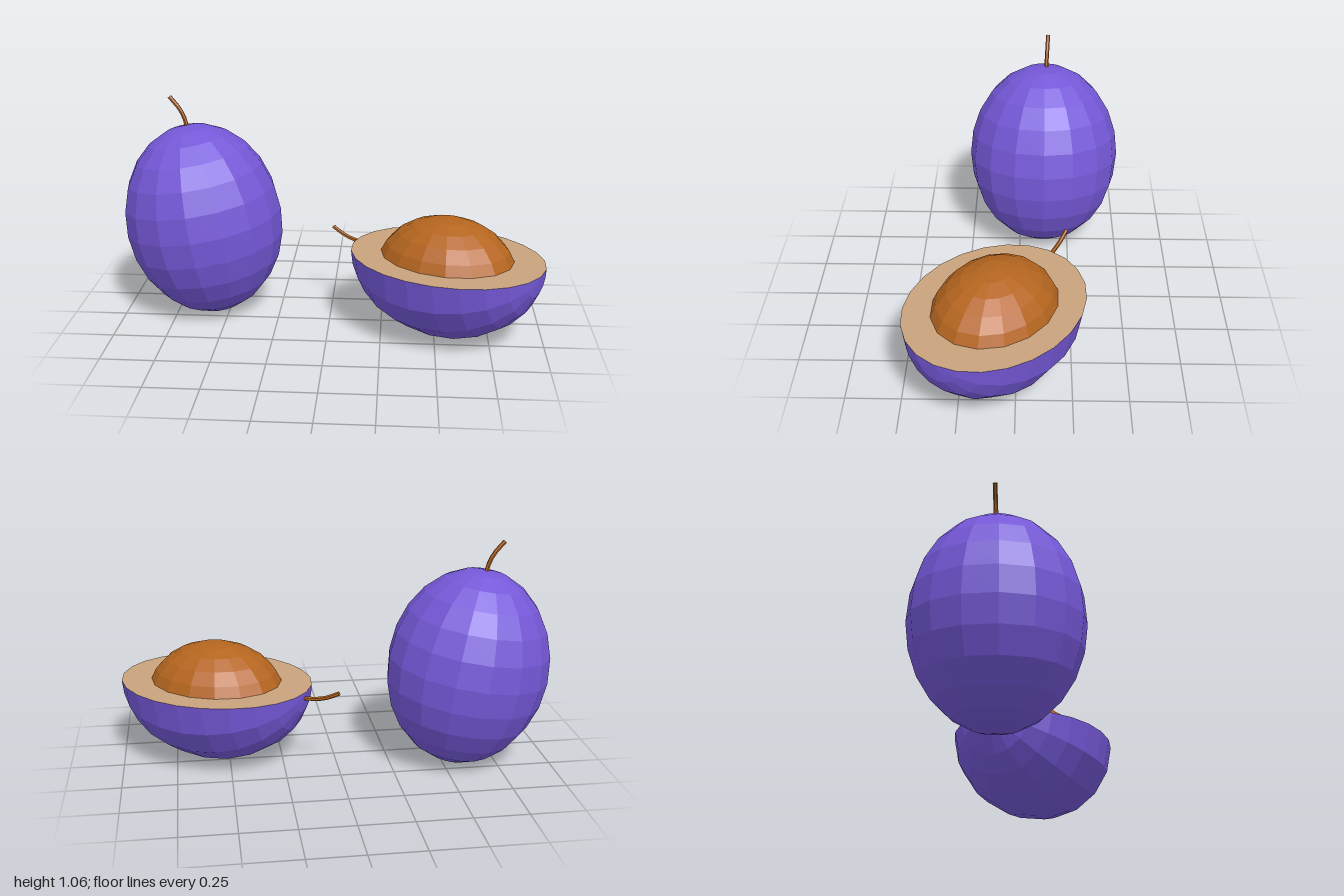
import * as THREE from 'three';

export function createModel() {
  const skin = new THREE.MeshStandardMaterial({ color: 0x7558d8 });
  const flesh = new THREE.MeshStandardMaterial({ color: 0xc8a27c });
  const brown = new THREE.MeshStandardMaterial({ color: 0xb5651f });
  skin.name = 'purple skin';
  flesh.name = 'pale flesh';
  brown.name = 'brown pit and stem';

  // Faceted look: unshared vertices give one normal per face
  const facet = (geometry) => {
    const g = geometry.index ? geometry.toNonIndexed() : geometry;
    g.computeVertexNormals();
    return g;
  };

  const add = (parent, name, geometry, material) => {
    const mesh = new THREE.Mesh(facet(geometry), material);
    mesh.name = name;
    parent.add(mesh);
    return mesh;
  };

  // Curved stem with closed ends
  const addStem = (parent, name, points) => {
    const curve = new THREE.CatmullRomCurve3(points.map((p) => new THREE.Vector3(...p)));
    const stem = new THREE.Group();
    stem.name = name;
    add(stem, name + 'Stalk', new THREE.TubeGeometry(curve, 6, 0.01, 6), brown);
    const cap = add(stem, name + 'Tip', new THREE.CircleGeometry(0.01, 6), brown);
    cap.position.copy(curve.getPoint(1));
    cap.lookAt(curve.getPoint(1).add(curve.getTangent(1)));
    parent.add(stem);
  };

  const model = new THREE.Group();
  model.name = 'fruitPair';

  // Whole fruit, leaning slightly to one side
  const whole = new THREE.Group();
  whole.name = 'wholeFruit';
  const body = add(whole, 'wholeSkin',
    new THREE.SphereGeometry(1, 16, 12).scale(0.378, 0.468, 0.378), skin);
  body.position.set(-0.617, 0.466, -0.121);
  body.rotation.z = 0.16;
  addStem(whole, 'wholeStem', [
    [-0.685, 0.9, -0.13], [-0.69, 0.94, -0.13], [-0.715, 1.0, -0.133], [-0.765, 1.062, -0.137],
  ]);
  model.add(whole);

  // Halved fruit, lying with its cut face up and its long axis level
  const half = new THREE.Group();
  half.name = 'halvedFruit';
  const cut = new THREE.Group();
  cut.name = 'cutHalf';
  cut.position.set(0.55, 0.383, 0.092);
  cut.rotation.y = -Math.PI * 2 / 3;
  add(cut, 'halfSkin',
    new THREE.SphereGeometry(1, 8, 12, 0, Math.PI).scale(0.378, 0.468, 0.378).rotateX(Math.PI / 2), skin);
  add(cut, 'cutFace',
    new THREE.CircleGeometry(1, 24).scale(0.378, 0.468, 1).rotateX(-Math.PI / 2), flesh);

  // Pit, half sunk in the flesh
  const pit = add(cut, 'pit',
    new THREE.SphereGeometry(1, 16, 6, 0, Math.PI * 2, 0, Math.PI / 2).scale(0.28, 0.265, 0.338), brown);
  pit.position.y = -0.083;
  half.add(cut);
  addStem(half, 'halfStem', [
    [0.17, 0.352, -0.135], [0.11, 0.356, -0.168], [0.06, 0.37, -0.197], [0.005, 0.4, -0.228],
  ]);
  model.add(half);

  return model;
}
